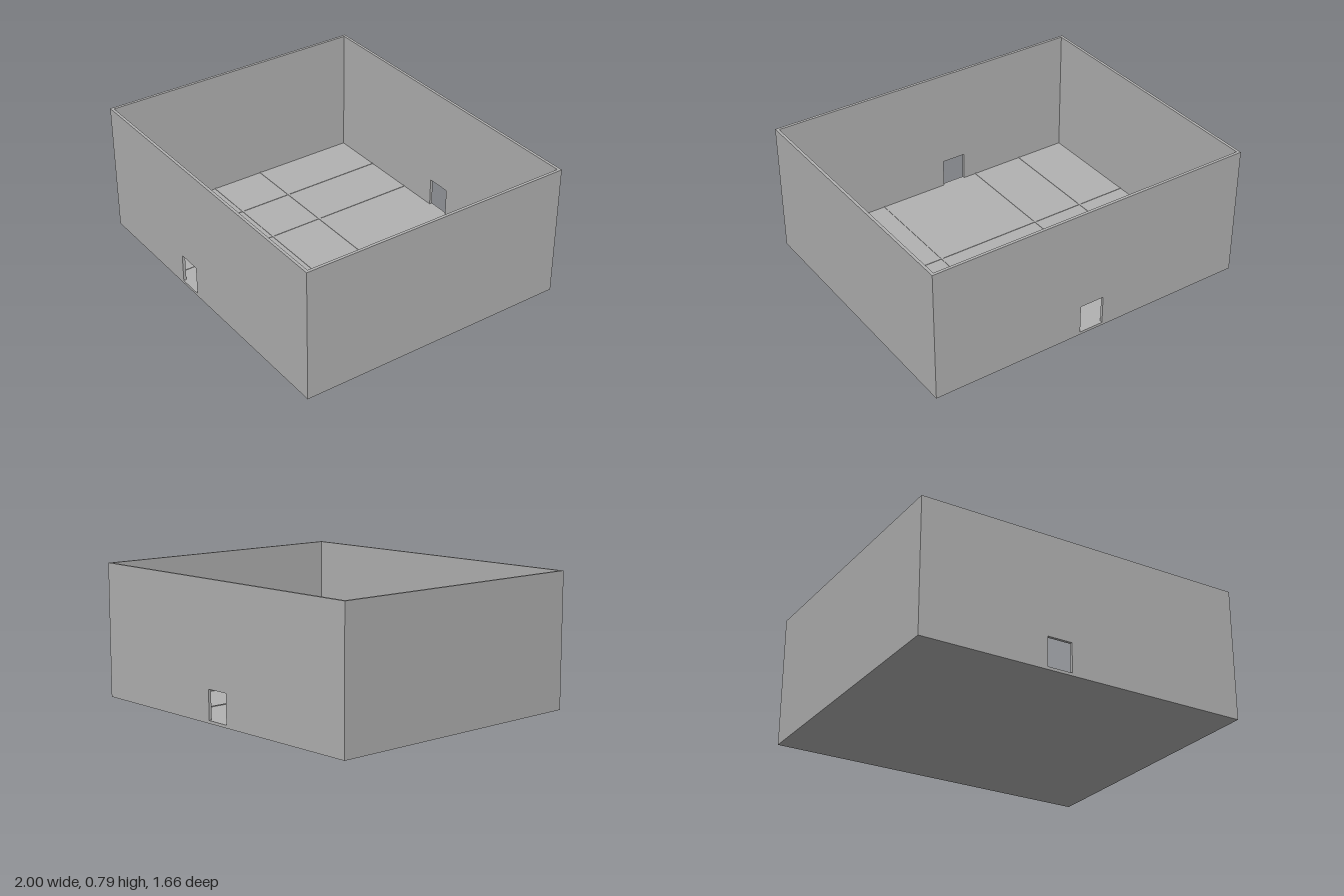
import * as THREE from 'three';

const W = 2, D = 1.664, H = 0.792, T = 0.017; // outer size and wall thickness
const DOOR_W = 0.15, DOOR_TOP = 0.19;

export function createModel() {
  const group = new THREE.Group();
  const grey = new THREE.MeshStandardMaterial({ color: 0xb2b2b2 });
  grey.name = 'plain grey';

  const add = (name, geometry, x, y, z) => {
    const mesh = new THREE.Mesh(geometry, grey);
    mesh.name = name;
    mesh.position.set(x, y, z);
    group.add(mesh);
  };
  const box = (name, w, h, d, x, y, z) => add(name, new THREE.BoxGeometry(w, h, d), x, y, z);

  // Long wall with a doorway notched up from the floor level
  const doorWall = (name, doorX, z) => {
    const a = doorX - DOOR_W / 2, b = doorX + DOOR_W / 2;
    const shape = new THREE.Shape([
      [-W / 2, 0], [W / 2, 0], [W / 2, H], [-W / 2, H],
    ].map(([x, y]) => new THREE.Vector2(x, y)));
    shape.holes.push(new THREE.Path([
      [a, T], [a, DOOR_TOP], [b, DOOR_TOP], [b, T],
    ].map(([x, y]) => new THREE.Vector2(x, y))));
    add(name, new THREE.ExtrudeGeometry(shape, { depth: T, bevelEnabled: false }), 0, 0, z);
  };
  doorWall('frontWall', -0.17, D / 2 - T);
  doorWall('backWall', 0, -D / 2);

  // Floor slab and end walls fit between the long walls
  const inW = W - 2 * T, inD = D - 2 * T;
  box('floor', inW, T, inD, 0, T / 2, 0);
  for (const s of [-1, 1]) {
    box(s > 0 ? 'leftWall' : 'rightWall', T, H, inD, s * (W - T) / 2, H / 2, 0);
  }

  // Low strips marking the room divisions on the floor
  const stripW = 0.012, stripH = 0.003, y = T + stripH / 2;
  for (const x of [-0.667, -0.333, 0.333, 0.667]) {
    box('crossStrip', stripW, stripH, inD, x, y, 0);
  }
  for (const z of [-0.167, 0.167]) {
    box('corridorStrip', inW, stripH, stripW, 0, y, z);
  }
  return group;
}
